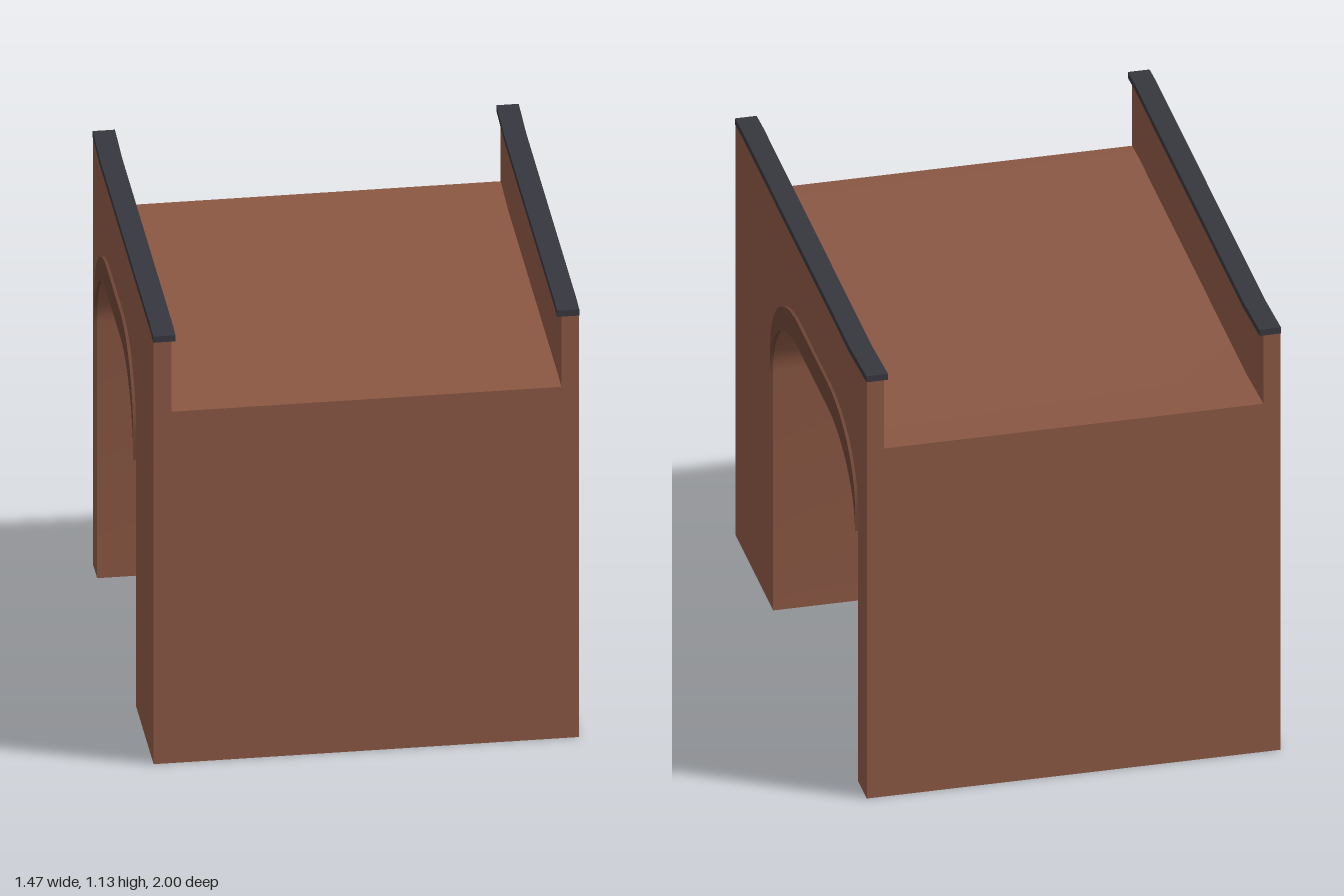
import * as THREE from 'three';
import { toCreasedNormals } from 'three/addons/utils/BufferGeometryUtils.js';

const SKEW = 0.178, HALF = 0.555;
const brick = new THREE.MeshStandardMaterial({ color: 0x8a5743 });
brick.name = 'brick';
const archBrick = new THREE.MeshStandardMaterial({ color: 0x6c4435 });
archBrick.name = 'dark arch brick';
const coping = new THREE.MeshStandardMaterial({ color: 0x36363e });
coping.name = 'slate coping';

// Extrude a side profile (u = -z, y) from x0 to x1, then skew it along the span
function slab(name, points, x0, x1, material) {
  const shape = new THREE.Shape(points.map(([u, y]) => new THREE.Vector2(u, y)));
  let geo = new THREE.ExtrudeGeometry(shape, { depth: x1 - x0, bevelEnabled: false });
  geo.translate(0, 0, x0);
  geo.rotateY(Math.PI / 2);
  const p = geo.attributes.position;
  for (let i = 0; i < p.count; i++) p.setX(i, p.getX(i) - SKEW * p.getZ(i));
  geo = toCreasedNormals(geo, 0.5);
  const mesh = new THREE.Mesh(geo, material);
  mesh.name = name;
  return mesh;
}

// Flat-topped arch: elliptical haunches joined by a level crown
function archCurve(lift) {
  const pts = [], n = 12;
  for (let i = 0; i <= n; i++) {
    const a = (i / n) * Math.PI / 2;
    pts.push([-0.425 * Math.cos(a), 0.645 + 0.21 * Math.sin(a) + lift]);
  }
  for (let i = 0; i <= n; i++) {
    const a = (i / n) * Math.PI / 2;
    pts.push([0.45 + 0.415 * Math.sin(a), 0.67 + 0.185 * Math.cos(a) + lift]);
  }
  return pts;
}

// Long line that rises slightly toward the back end
const line = (y) => [[-1, y - 0.004], [-0.9, y], [0.75, y], [1, y + 0.012]];
const band = (y0, y1) => [...line(y0), ...line(y1).reverse()];

export function createModel() {
  const group = new THREE.Group();
  group.name = 'skewBridge';

  // Piers, vault and deck in one body
  group.add(slab('bridgeBody', [
    [-1, 0], [-0.425, 0], ...archCurve(0), [0.865, 0], [1, 0],
    ...line(0.921).reverse(),
  ], -HALF, HALF, brick));

  // Parapets, copings and arch rings on both sides
  for (const s of [-1, 1]) {
    const side = s > 0 ? 'left' : 'right';
    const strip = (name, pts, inner, outer, mat) => {
      const [a, b] = [s * inner, s * outer].sort((m, n) => m - n);
      group.add(slab(side + name, pts, a, b, mat));
    };
    strip('Parapet', band(0.921, 1.104), HALF - 0.046, HALF, brick);
    strip('Coping', band(1.104, 1.12), HALF - 0.057, HALF + 0.001, coping);
    strip('ArchRing', [...archCurve(0), ...archCurve(0.064).reverse()],
      HALF - 0.001, HALF + 0.008, archBrick);
  }
  return group;
}
